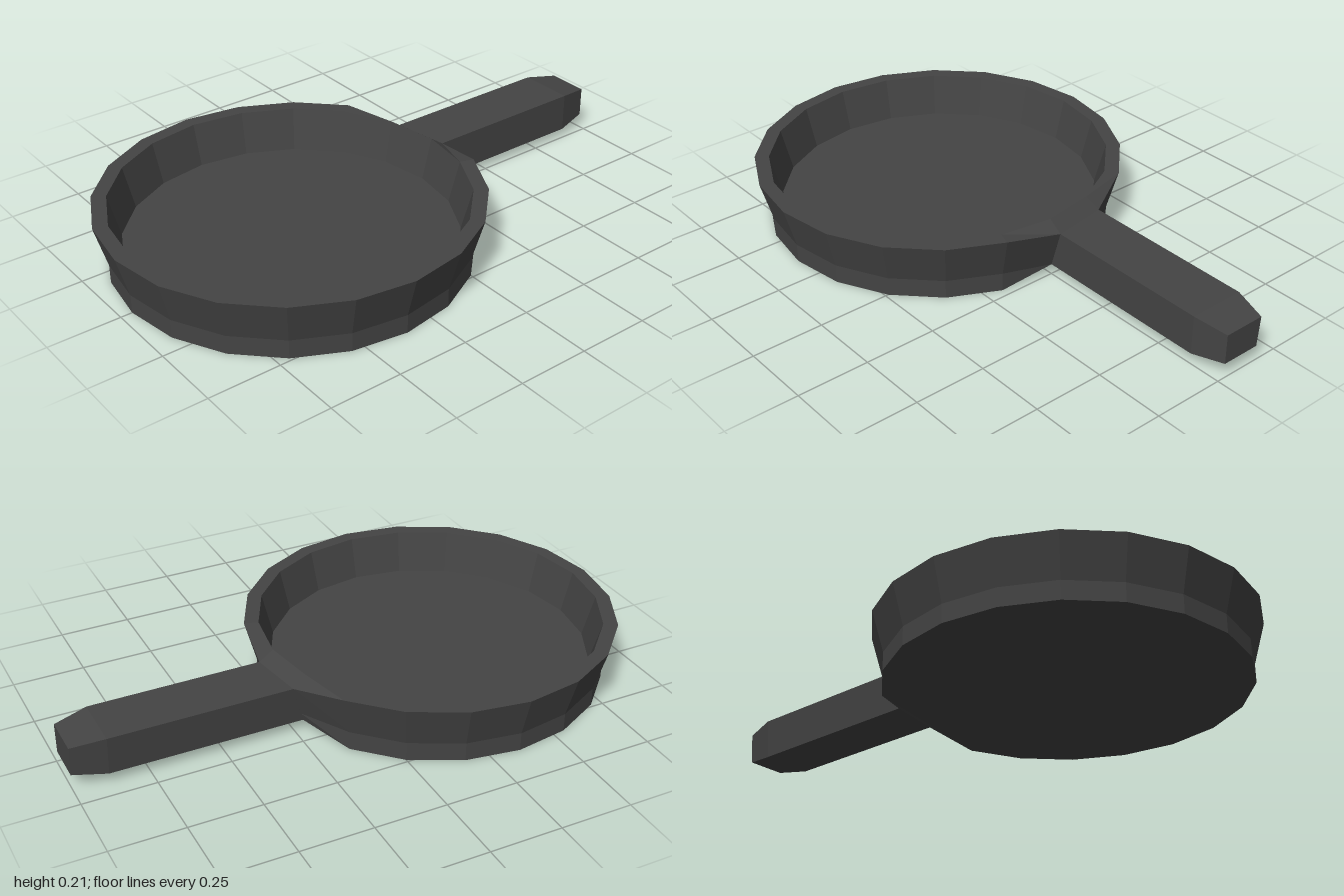
import * as THREE from 'three';

const SIDES = 20;
const CENTRE_X = -0.355;
const JOINT = [5, 6]; // rim corners that the handle grows out of

function facesFrom(points, index) {
  const g = new THREE.BufferGeometry();
  g.setAttribute('position', new THREE.Float32BufferAttribute(points.flat(), 3));
  g.setIndex(index);
  const flat = g.toNonIndexed();
  flat.computeVertexNormals();
  return flat;
}

function ringPoint(radius, y, i) {
  const a = (i / SIDES) * Math.PI * 2;
  return [CENTRE_X + radius * Math.sin(a), y, radius * Math.cos(a)];
}

export function createModel() {
  const pan = new THREE.Group();
  pan.name = 'fryingPan';
  const iron = new THREE.MeshStandardMaterial({ color: 0x444444, flatShading: true });
  iron.name = 'darkIron';

  const add = (name, geometry) => {
    const mesh = new THREE.Mesh(geometry, iron);
    mesh.name = name;
    pan.add(mesh);
  };

  // Bowl: outer wall, rim, inner wall and cooking floor
  const profile = [[0.605, 0], [0.605, 0.065], [0.645, 0.21], [0.595, 0.21], [0.557, 0.065], [0, 0.065]]
    .map(([r, y]) => new THREE.Vector2(r, y));
  const bowl = new THREE.LatheGeometry(profile, SIDES);
  bowl.translate(CENTRE_X, 0, 0);
  // Pinch the outer wall to the height of the handle at the joint
  const jointWall = [[0.605, 0.037], [0.613, 0.065], [0.645, 0.175]];
  for (const i of JOINT) {
    jointWall.forEach(([r, y], j) => {
      bowl.attributes.position.setXYZ(i * profile.length + j, ...ringPoint(r, y, i));
    });
  }
  const flatBowl = bowl.toNonIndexed();
  flatBowl.computeVertexNormals();
  add('bowl', flatBowl);

  // Underside: a fan that slopes up to the joint
  const base = [];
  const fan = [];
  for (let k = 0; k < SIDES; k++) {
    const i = (k + 4) % SIDES;
    base.push(ringPoint(0.605, JOINT.includes(i) ? 0.037 : 0, i));
    if (k > 1) fan.push(0, k, k - 1);
  }
  add('underside', facesFrom(base, fan));

  // Handle: four-cornered loops from the joint to the tapered tip
  const [front, back] = JOINT;
  const loops = [
    [ringPoint(0.645, 0.175, front), ringPoint(0.645, 0.175, back),
      ringPoint(0.605, 0.037, back), ringPoint(0.605, 0.037, front)],
    [[0.885, 0.175, 0], [0.885, 0.175, -0.199], [0.885, 0.037, -0.187], [0.885, 0.037, 0]],
    [[1, 0.158, -0.025], [1, 0.158, -0.173], [1, 0.053, -0.164], [1, 0.053, -0.025]],
  ];
  const index = [];
  for (let l = 0; l < loops.length - 1; l++) {
    for (let c = 0; c < 4; c++) {
      const a = l * 4 + c;
      const d = l * 4 + ((c + 1) % 4);
      index.push(a, a + 4, d + 4, a, d + 4, d);
    }
  }
  index.push(8, 11, 10, 8, 10, 9); // tip face
  add('handle', facesFrom(loops.flat(), index));

  return pan;
}
